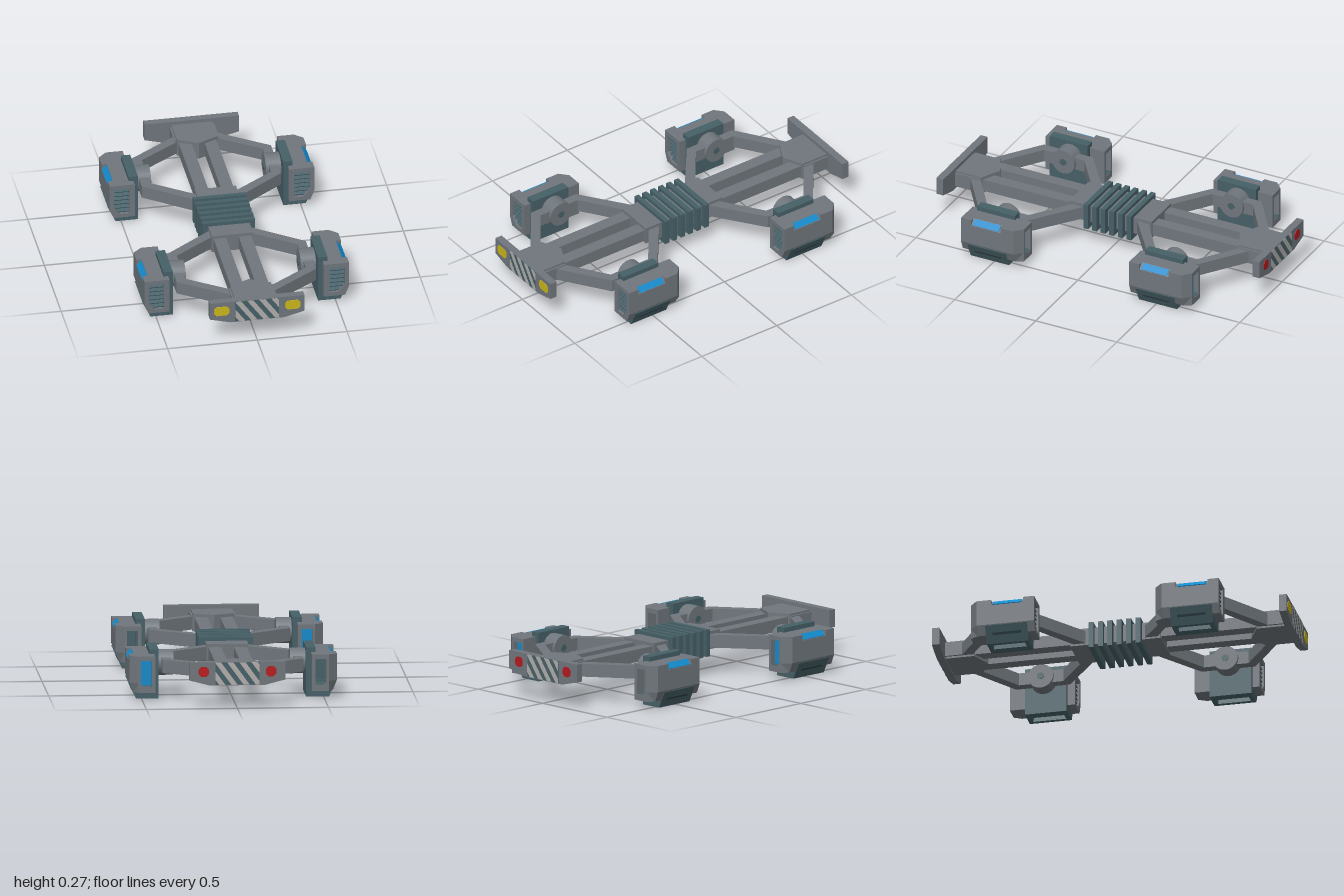
import * as THREE from 'three';

const mat = (name, color) => Object.assign(new THREE.MeshStandardMaterial({ color }), { name });

export function createModel() {
  const grey = mat('grey metal', 0x6f767c);
  const teal = mat('dark teal', 0x466067);
  const dark = mat('dark slot', 0x2e4248);
  const light = mat('light stripe', 0xb0adab);
  const yellow = mat('yellow lamp', 0xccb61c);
  const red = mat('red lamp', 0xb51a1c);
  const blue = mat('blue glow', 0x128acb);

  const add = (parent, name, geometry, material) => {
    const mesh = new THREE.Mesh(geometry, material);
    mesh.name = name;
    parent.add(mesh);
    return mesh;
  };
  // Box given by its limits on each axis
  const box = (parent, name, m, x0, x1, y0, y1, z0, z1) => {
    const mesh = add(parent, name, new THREE.BoxGeometry(x1 - x0, y1 - y0, z1 - z0), m);
    mesh.position.set((x0 + x1) / 2, (y0 + y1) / 2, (z0 + z1) / 2);
    return mesh;
  };
  const vectors = pts => pts.map(p => new THREE.Vector2(...p));
  // Outline in x,y extruded from z0 to z1
  const prism = (pts, z0, z1, hole) => {
    const shape = new THREE.Shape(vectors(pts));
    if (hole) shape.holes.push(new THREE.Path(vectors(hole)));
    return new THREE.ExtrudeGeometry(shape, { depth: z1 - z0, bevelEnabled: false }).translate(0, 0, z0);
  };
  // Outline in x,z extruded from y0 to y1
  const slab = (pts, y0, y1) => prism(pts, 0, y1 - y0).rotateX(Math.PI / 2).translate(0, y1, 0);
  // Keep the part of a polygon where side * x <= limit
  const clip = (pts, side, limit) => pts.flatMap((p, i) => {
    const q = pts[(i + 1) % pts.length];
    const a = limit - side * p[0], b = limit - side * q[0];
    const out = a >= 0 ? [p] : [];
    if (a * b < 0) {
      const t = a / (a - b);
      out.push([p[0] + t * (q[0] - p[0]), p[1] + t * (q[1] - p[1])]);
    }
    return out;
  });

  const model = new THREE.Group();
  model.name = 'chassis';

  // Central joint with ribs
  box(model, 'centralCore', grey, -0.115, 0.115, 0.137, 0.237, -0.255, 0.255);
  for (let i = 0; i < 6; i++) {
    const z = -0.13 + i * 0.053;
    box(model, 'coreRib', teal, -0.147, 0.147, 0.107, 0.257, z - 0.014, z + 0.014);
  }

  // One half of the frame, built facing +z
  const makeEnd = (name, lampMat, lampX, lampW) => {
    const end = new THREE.Group();
    end.name = name;
    for (const s of [-1, 1]) {
      const cx = s * 0.07;
      box(end, 'rail', grey, cx - 0.035, cx + 0.035, 0.15, 0.22, 0.25, 0.8);
      const arm = [[0.1, 0.875], [0.388, 0.672], [0.388, 0.37], [0.1, 0.155],
        [0.1, 0.225], [0.336, 0.395], [0.336, 0.645], [0.1, 0.81]];
      add(end, 'suspensionArm', slab(arm.map(([x, z]) => [s * x, z]), 0.148, 0.22), grey);
      box(end, 'sidePlate', grey, s * 0.117 - 0.007, s * 0.117 + 0.007, 0.148, 0.226, 0.8, 0.957);
      // Lamp with cut corners
      const w = lampW / 2, h = 0.028, c = 0.014, x = s * lampX, y = 0.204;
      const lamp = [[-w + c, -h], [w - c, -h], [w, -h + c], [w, h - c],
        [w - c, h], [-w + c, h], [-w, h - c], [-w, -h + c]];
      add(end, 'lamp', prism(lamp.map(p => [p[0] + x, p[1] + y]), 0.996, 1.0), lampMat);
    }
    add(end, 'endBlock', slab([[0, 0.74], [0.113, 0.795], [0.113, 0.96], [-0.113, 0.96], [-0.113, 0.795]], 0.137, 0.237), grey);
    add(end, 'bumper', prism([[-0.15, 0.128], [0.15, 0.128], [0.263, 0.157], [0.263, 0.257],
      [-0.263, 0.257], [-0.263, 0.157]], 0.955, 0.997), grey);

    // Warning panel with diagonal stripes
    box(end, 'warningPanel', teal, -0.12, 0.12, 0.131, 0.255, 0.994, 0.9985);
    for (let i = 0; i < 5; i++) {
      const a = -0.19 + i * 0.067;
      let pts = [[a, 0.255], [a + 0.09, 0.131], [a + 0.124, 0.131], [a + 0.034, 0.255]];
      pts = clip(clip(pts, 1, 0.12), -1, 0.12);
      if (pts.length > 2) add(end, 'warningStripe', prism(pts, 0.996, 1.0), light);
    }
    model.add(end);
    return end;
  };
  makeEnd('frontFrame', yellow, 0.198, 0.084);
  makeEnd('rearFrame', red, 0.185, 0.056).rotation.y = Math.PI;

  // Side pod on the +x side, centred on z = 0
  const makePod = glowing => {
    const pod = new THREE.Group();
    pod.name = 'sidePod';
    const outline = [[0.43, 0.045], [0.548, 0.045], [0.57, 0.1], [0.57, 0.247], [0.43, 0.247]];
    const notched = [...outline.slice(0, 3), [0.57, 0.215], [0.54, 0.247], [0.43, 0.247]];
    const grille = [[0.46, 0.067], [0.51, 0.067], [0.546, 0.11], [0.546, 0.223], [0.46, 0.223]];
    const vent = [[0.448, 0.08], [0.51, 0.08], [0.51, 0.222], [0.448, 0.222]];

    // Shell from front to back
    add(pod, 'grilleFrame', prism(outline, 0.1075, 0.1575, grille), grey);
    add(pod, 'podShell', prism(outline, 0.095, 0.1075), grey);
    add(pod, 'notchedShell', prism(notched, -0.085, 0.095), grey);
    add(pod, 'podShell', prism(outline, -0.1, -0.085), grey);
    add(pod, 'ventFrame', prism(outline, -0.165, -0.1, vent), grey);
    const tail = prism(outline, -0.2075, -0.165, vent);
    const p = tail.attributes.position;
    for (let i = 0; i < p.count; i++) {
      if (p.getZ(i) < -0.2 && p.getX(i) > 0.53) p.setX(i, 0.523);
    }
    tail.computeVertexNormals();
    add(pod, 'taperedTail', tail, grey);

    // Grille louvres
    box(pod, 'grilleBack', teal, 0.458, 0.548, 0.067, 0.224, 0.105, 0.112);
    for (let i = 0; i < 6; i++) {
      const y = 0.082 + i * 0.025;
      box(pod, 'louvre', teal, 0.458, 0.548, y - 0.003, y + 0.003, 0.11, 0.148).rotation.x = 0.45;
    }

    // Rear vent lining
    box(pod, 'ventBack', teal, 0.446, 0.512, 0.078, 0.224, -0.104, -0.097);
    box(pod, 'ventFloor', teal, 0.448, 0.51, 0.078, 0.083, -0.203, -0.1);
    if (glowing) box(pod, 'ventGlow', blue, 0.446, 0.512, 0.078, 0.224, -0.176, -0.169);

    // Blue strip in the edge notch
    const strip = box(pod, 'edgeLight', blue, -0.003, 0.003, -0.019, 0.019, -0.075, 0.085);
    strip.position.set(0.5555, 0.2315, 0.005);
    strip.rotation.z = Math.atan2(0.03, 0.032);

    // Mounting plate and hollow foot
    box(pod, 'mountingPlate', teal, 0.405, 0.457, 0, 0.273, -0.1175, 0.1175);
    const foot = [[0.42, 0], [0.53, 0], [0.573, 0.092], [0.42, 0.092]];
    add(pod, 'footEnd', prism(foot, 0.092, 0.1175), teal);
    add(pod, 'footEnd', prism(foot, -0.1175, -0.092), teal);
    add(pod, 'footOuterWall', prism([[0.507, 0], [0.53, 0], [0.573, 0.092], [0.54, 0.092]], -0.092, 0.092), teal);
    box(pod, 'footCeiling', teal, 0.43, 0.525, 0.032, 0.06, -0.092, 0.092);
    const slot = box(pod, 'footSlot', dark, -0.003, 0.003, -0.007, 0.007, -0.08, 0.08);
    slot.position.set(0.5515, 0.049, 0);
    slot.rotation.z = -Math.atan2(0.043, 0.092);

    // Hub joining pod and suspension arm
    const hub = add(pod, 'hub', new THREE.CylinderGeometry(0.071, 0.071, 0.092, 24).rotateZ(Math.PI / 2), grey);
    hub.position.set(0.366, 0.185, -0.01);
    const cap = add(pod, 'hubCap', new THREE.CylinderGeometry(0.02, 0.02, 0.006, 16).rotateZ(Math.PI / 2), teal);
    cap.position.set(0.319, 0.185, -0.01);
    return pod;
  };
  for (const side of [-1, 1]) {
    for (const z of [0.5275, -0.51]) {
      const pod = makePod(side * z < 0);
      pod.position.z = z;
      pod.scale.x = side;
      model.add(pod);
    }
  }
  return model;
}
